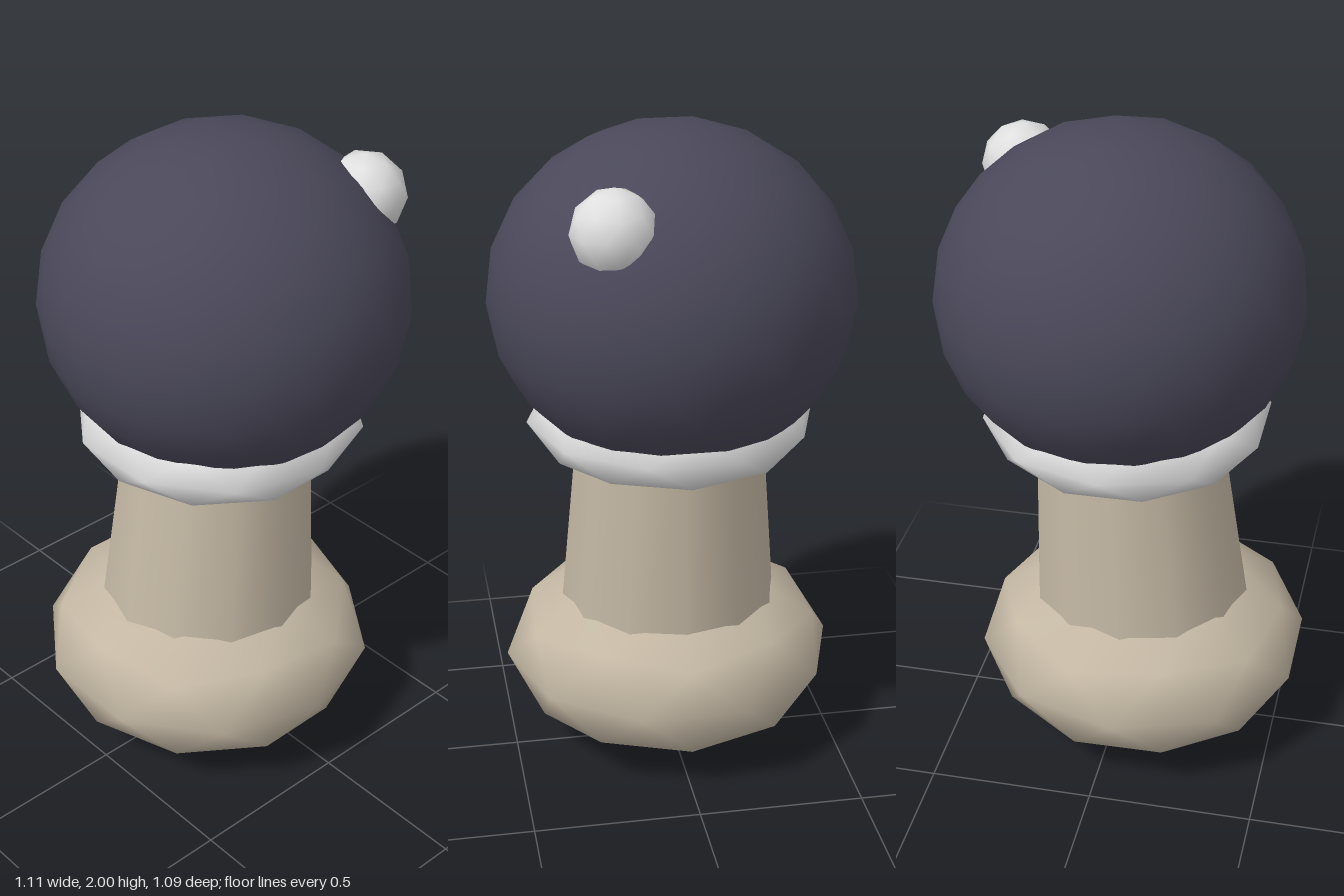
import * as THREE from 'three';

const mat = (name, color) => {
  const m = new THREE.MeshStandardMaterial({ color });
  m.name = name;
  return m;
};

// Smooth, squashed icosphere with one vertex at the pole
function blob(name, material, detail, [x, y, z], [rx, ry, rz]) {
  const g = new THREE.IcosahedronGeometry(1, detail);
  g.rotateZ(-Math.atan(2 / (1 + Math.sqrt(5))));
  g.scale(rx, ry, rz);
  const mesh = new THREE.Mesh(g, material);
  mesh.name = name;
  mesh.position.set(x, y, z);
  return mesh;
}

export function createModel() {
  const group = new THREE.Group();
  const beige = mat('beige', 0xc4b8a4);
  const dark = mat('dark slate', 0x4a4859);
  const white = mat('white', 0xe0e0e0);

  // Rounded foot, collar, head and highlight bump
  group.add(blob('base', beige, 1, [-0.07, 0.293, 0], [0.515, 0.29, 0.515]));
  group.add(blob('collar', white, 1, [-0.015, 1.1, 0], [0.437, 0.175, 0.437]));
  group.add(blob('head', dark, 3, [0.007, 1.49, 0], [0.546, 0.51, 0.546]));
  group.add(blob('highlight', white, 1, [0.345, 1.782, 0.217], [0.125, 0.125, 0.125]));

  // Tapered neck, leaning slightly towards +x as it rises
  const y0 = 0.3, y1 = 1.1;
  const neckGeo = new THREE.CylinderGeometry(0.284, 0.352, y1 - y0, 12);
  const lean = 0.06 / (y1 - y0);
  neckGeo.applyMatrix4(new THREE.Matrix4().makeShear(0, 0, lean, 0, 0, 0));
  const p = neckGeo.attributes.position;
  // Guarantee the lean follows height only
  for (let i = 0; i < p.count; i++) {
    const a = Math.round(Math.atan2(p.getZ(i), p.getX(i) - lean * p.getY(i)) * 6 / Math.PI) * Math.PI / 6;
    const r = Math.hypot(p.getX(i) - lean * p.getY(i), p.getZ(i));
    if (r > 0.1) p.setXYZ(i, r * Math.cos(a) + lean * p.getY(i), p.getY(i), r * Math.sin(a));
  }
  const neck = new THREE.Mesh(neckGeo, beige);
  neck.name = 'neck';
  neck.position.set(-0.045, (y0 + y1) / 2, 0);
  group.add(neck);

  return group;
}
